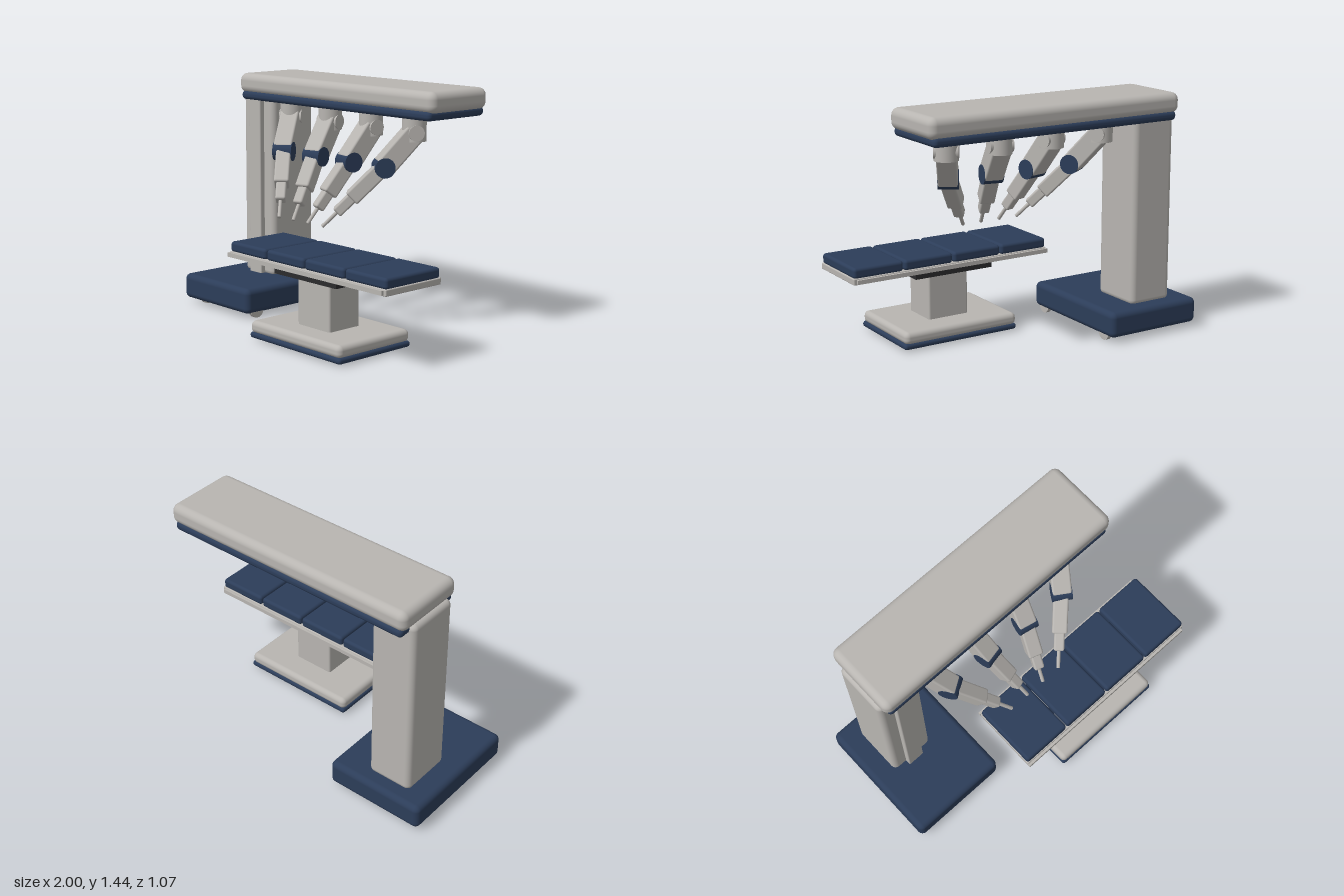
import * as THREE from 'three';
import { RoundedBoxGeometry } from 'three/addons/geometries/RoundedBoxGeometry.js';

const makeMaterial = (name, color) => {
  const m = new THREE.MeshStandardMaterial({ color });
  m.name = name;
  return m;
};

export function createModel() {
  const grey = makeMaterial('warm grey shell', 0xb8b5b1);
  const navy = makeMaterial('navy blue', 0x2c3d59);
  const black = makeMaterial('charcoal', 0x2b2b2d);

  const model = new THREE.Group();
  model.name = 'surgicalRobotWithTable';

  const group = (name, parent = model) => {
    const g = new THREE.Group();
    g.name = name;
    parent.add(g);
    return g;
  };
  const add = (parent, name, geometry, material) => {
    const m = new THREE.Mesh(geometry, material);
    m.name = name;
    parent.add(m);
    return m;
  };
  // Box given by its limits on each axis; a radius rounds its edges
  const box = (parent, name, material, [x0, x1], [y0, y1], [z0, z1], r = 0) => {
    const size = [x1 - x0, y1 - y0, z1 - z0];
    const g = r ? new RoundedBoxGeometry(...size, 4, r) : new THREE.BoxGeometry(...size);
    const m = add(parent, name, g, material);
    m.position.set((x0 + x1) / 2, (y0 + y1) / 2, (z0 + z1) / 2);
    return m;
  };

  // Cart with casters, column and overhead beam
  const cart = group('cart');
  box(cart, 'cartBase', navy, [-1, -0.37], [0.03, 0.185], [-0.535, 0.285], 0.035);
  for (const x of [-0.877, -0.395]) {
    for (const z of [-0.43, 0.195]) {
      const wheel = add(cart, 'caster', new THREE.CylinderGeometry(0.048, 0.048, 0.025, 24), grey);
      wheel.rotation.z = Math.PI / 2;
      wheel.position.set(x, 0.048, z);
    }
  }
  box(cart, 'column', grey, [-0.865, -0.58], [0.17, 1.335], [-0.44, -0.105], 0.035);
  box(cart, 'columnFrontPlate', grey, [-0.775, -0.665], [0.18, 1.3], [-0.12, -0.072], 0.008);
  box(cart, 'beam', grey, [-0.85, 0.815], [1.32, 1.443], [-0.515, -0.052], 0.045);
  box(cart, 'beamUnderside', navy, [-0.828, 0.79], [1.28, 1.336], [-0.51, -0.056], 0.025);

  // Box stretched along the line between two points
  const link = (parent, name, a, b, width, height) => {
    const g = new RoundedBoxGeometry(width, height, a.distanceTo(b), 3, 0.012);
    const m = add(parent, name, g, grey);
    m.position.lerpVectors(a, b, 0.5);
    m.lookAt(b);
    return m;
  };

  // Four arms fanning in towards the table, evenly spaced along the beam
  const centreX = 0.014;
  for (const step of [-1.5, -0.5, 0.5, 1.5]) {
    const arm = group('arm');
    const at = (spread, y, z) => new THREE.Vector3(centreX + step * spread, y, z);
    const shoulder = at(0.35, 1.19, -0.2);
    const elbow = at(0.286, 0.995, -0.053);
    const tip = at(0.125, 0.65, 0.195);
    const along = (t) => elbow.clone().lerp(tip, t);

    const mount = add(arm, 'shoulderMount', new THREE.CylinderGeometry(0.07, 0.07, 0.14, 32), grey);
    mount.position.set(shoulder.x, 1.21, shoulder.z);
    const upper = link(arm, 'upperArm', shoulder, elbow, 0.115, 0.12);

    // Cross pins at both joints
    for (const [name, point, radius, length, material] of [
      ['shoulderPin', shoulder, 0.045, 0.14, grey],
      ['elbowPin', elbow, 0.058, 0.118, navy],
    ]) {
      const g = new THREE.CylinderGeometry(radius, radius, length, 28).rotateZ(Math.PI / 2);
      const pin = add(arm, name, g, material);
      pin.position.copy(point);
      pin.quaternion.copy(upper.quaternion);
    }

    link(arm, 'forearm', along(-0.06), along(0.52), 0.09, 0.09);
    link(arm, 'instrumentDrive', along(0.48), along(0.76), 0.062, 0.062);
    const start = along(0.7);
    const shaft = add(arm, 'instrumentShaft',
      new THREE.CylinderGeometry(0.011, 0.011, start.distanceTo(tip), 16).rotateX(Math.PI / 2), grey);
    shaft.position.lerpVectors(start, tip, 0.5);
    shaft.lookAt(tip);
  }

  // Operating table
  const table = group('operatingTable');
  box(table, 'tableFootTrim', navy, [-0.045, 0.713], [0.01, 0.046], [-0.012, 0.535], 0.017);
  box(table, 'tableFoot', grey, [-0.045, 0.708], [0.038, 0.112], [-0.012, 0.532], 0.03);
  box(table, 'pedestal', grey, [0.2, 0.465], [0.1, 0.4], [0.15, 0.38], 0.012);
  box(table, 'tableSupport', black, [0.078, 0.59], [0.395, 0.432], [0.077, 0.447]);
  box(table, 'tableTop', grey, [-0.297, 0.997], [0.43, 0.468], [0.053, 0.472], 0.006);
  for (const z of [0.036, 0.473]) {
    box(table, 'sideRail', grey, [-0.297, 0.98], [0.437, 0.462], [z, z + 0.016]);
  }
  for (let i = 0; i < 4; i++) {
    const x = -0.295 + i * 0.3245;
    box(table, 'cushion', navy, [x, x + 0.3155], [0.464, 0.526], [0.056, 0.468], 0.018);
  }

  return model;
}
